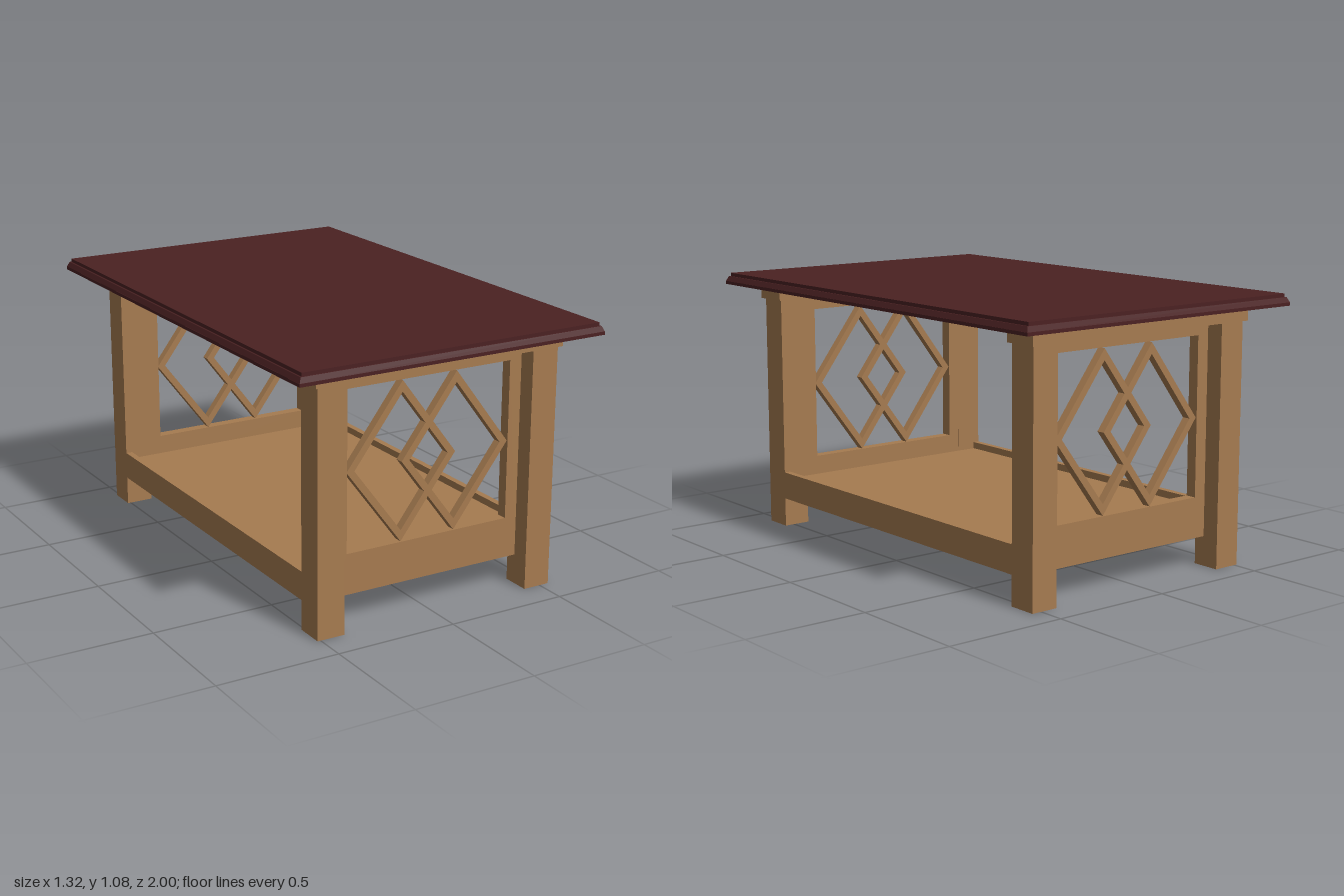
import * as THREE from 'three';

export function createModel() {
  const model = new THREE.Group();
  model.name = 'coffeeTable';
  const wood = new THREE.MeshStandardMaterial({ name: 'oak wood', color: 0xa67b50 });
  const dark = new THREE.MeshStandardMaterial({ name: 'dark mahogany', color: 0x4b2122 });

  const add = (name, geometry, material, parent = model) => {
    const mesh = new THREE.Mesh(geometry, material);
    mesh.name = name;
    parent.add(mesh);
    return mesh;
  };
  // Box given by its limits on each axis
  const box = (name, x0, x1, y0, y1, z0, z1, material = wood, parent = model) => {
    const g = new THREE.BoxGeometry(x1 - x0, y1 - y0, z1 - z0);
    g.translate((x0 + x1) / 2, (y0 + y1) / 2, (z0 + z1) / 2);
    return add(name, g, material, parent);
  };
  // Slab whose upper face is inset
  const slab = (name, y0, y1, hx, hz, inset) => {
    const g = new THREE.BoxGeometry(hx * 2, y1 - y0, hz * 2);
    const p = g.attributes.position;
    for (let i = 0; i < p.count; i++) {
      if (p.getY(i) > 0) {
        p.setX(i, Math.sign(p.getX(i)) * (hx - inset));
        p.setZ(i, Math.sign(p.getZ(i)) * (hz - inset));
      }
    }
    g.computeVertexNormals();
    g.translate(0, (y0 + y1) / 2, 0);
    add(name, g, dark);
  };

  // Stepped table top
  slab('topLowerEdge', 1.03, 1.043, 0.66, 1, 0);
  slab('topMoulding', 1.043, 1.063, 0.659, 0.999, 0.009);
  slab('topBoard', 1.063, 1.077, 0.643, 0.985, 0);

  // Base stands slightly off the centre of the top
  const base = new THREE.Group();
  base.name = 'base';
  base.position.set(0.014, 0, -0.01);
  model.add(base);
  const part = (name, ...limits) => box(name, ...limits, wood, base);

  const diamond = (path, w, h) => {
    path.moveTo(-w, 0);
    path.lineTo(0, -h);
    path.lineTo(w, 0);
    path.lineTo(0, h);
    path.closePath();
    return path;
  };
  const rect = (path, x0, x1, y0, y1) => {
    path.moveTo(x0, y0);
    path.lineTo(x1, y0);
    path.lineTo(x1, y1);
    path.lineTo(x0, y1);
    path.closePath();
    return path;
  };
  const extrude = (shape, depth) =>
    new THREE.ExtrudeGeometry(shape, { depth, bevelEnabled: false }).translate(0, 0, -depth / 2);

  const frameShape = rect(new THREE.Shape(), -0.413, 0.413, 0.12, 0.973);
  frameShape.holes.push(rect(new THREE.Path(), -0.36, 0.36, 0.284, 0.923));
  const frameGeometry = extrude(frameShape, 0.045);

  const diamondShape = diamond(new THREE.Shape(), 0.24, 0.317);
  diamondShape.holes.push(diamond(new THREE.Path(), 0.206, 0.272));
  const diamondGeometry = extrude(diamondShape, 0.035);

  // Each end: two legs, a cap beam and a lattice panel
  for (const s of [1, -1]) {
    const z = s * 0.823;
    for (const t of [1, -1]) {
      const x = t * 0.47;
      part('leg', x - 0.057, x + 0.057, 0, 0.973, z - 0.059, z + 0.059);
    }
    part('capBeam', -0.541, 0.541, 0.973, 1.03, z - 0.072, z + 0.072);

    const panel = new THREE.Group();
    panel.name = 'endPanel';
    panel.position.z = s * 0.787;
    base.add(panel);
    add('panelFrame', frameGeometry, wood, panel);
    for (const t of [1, -1]) {
      add('latticeDiamond', diamondGeometry, wood, panel).position.set(t * 0.12, 0.601, 0);
    }
  }

  // Shelf sunk between the long side rails
  for (const t of [1, -1]) {
    const a = t * 0.527, b = t * 0.5;
    part('sideRail', Math.min(a, b), Math.max(a, b), 0.12, 0.234, -0.764, 0.764);
  }
  part('shelf', -0.5, 0.5, 0.12, 0.205, -0.764, 0.764);

  return model;
}
